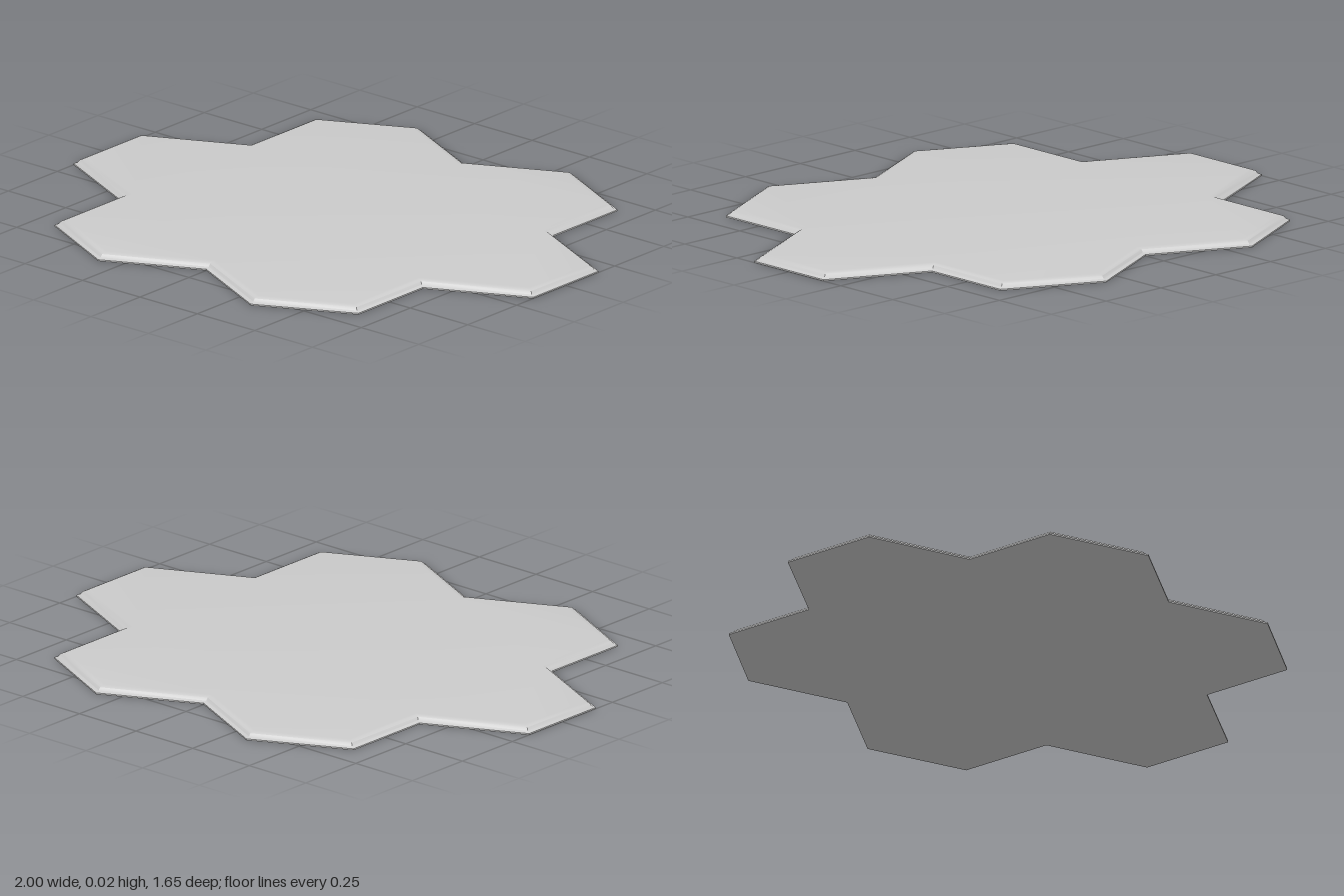
import * as THREE from 'three';
import { toCreasedNormals } from 'three/addons/utils/BufferGeometryUtils.js';

// Outline of seven joined hexagons: one quarter, mirrored, ordered by angle
function hexClusterOutline() {
  const quarter = [[1, 0.167], [0.661, 0.331], [0.661, 0.661], [0.332, 0.824], [0, 0.662]];
  const points = [];
  for (const [x, z] of quarter)
    for (const sx of x === 0 ? [1] : [1, -1])
      for (const sz of [1, -1]) points.push(new THREE.Vector2(x * sx, z * sz));
  return points.sort((a, b) => a.angle() - b.angle());
}

// Mitred inset, keeping the rim the same width along every edge
function insetOutline(points, amount) {
  const n = points.length;
  const normal = (a, b) => new THREE.Vector2(b.y - a.y, a.x - b.x).normalize();
  return points.map((p, i) => {
    const n1 = normal(points[(i + n - 1) % n], p);
    const n2 = normal(p, points[(i + 1) % n]);
    const scale = amount / (1 + n1.dot(n2));
    return p.clone().addScaledVector(n1.add(n2), -scale);
  });
}

function slabGeometry(outline, profile) {
  const n = outline.length;
  const positions = [];
  const indices = [];
  for (const [inset, y] of profile)
    for (const p of insetOutline(outline, inset)) positions.push(p.x, y, p.y);

  // stepped rim
  for (let k = 0; k < profile.length - 1; k++)
    for (let i = 0; i < n; i++) {
      const j = (i + 1) % n;
      const a = k * n + i, b = k * n + j;
      indices.push(a, a + n, b + n, a, b + n, b);
    }

  // flat underside and top
  const top = (profile.length - 1) * n;
  for (const [a, b, c] of THREE.ShapeUtils.triangulateShape(outline.slice(), []))
    indices.push(a, b, c, top + a, top + c, top + b);

  const geometry = new THREE.BufferGeometry();
  geometry.setAttribute('position', new THREE.Float32BufferAttribute(positions, 3));
  geometry.setIndex(indices);
  return toCreasedNormals(geometry, 0.6);
}

export function createModel() {
  const group = new THREE.Group();
  group.name = 'hexClusterTile';

  // rim section as [inset, height]: low lip, steep step, soft shoulder
  const profile = [[0, 0], [0, 0.005], [0.012, 0.01], [0.018, 0.019], [0.026, 0.0225], [0.038, 0.024]];
  const slab = new THREE.Mesh(
    slabGeometry(hexClusterOutline(), profile),
    new THREE.MeshStandardMaterial({ color: 0xcccccc })
  );
  slab.name = 'slab';
  group.add(slab);
  return group;
}
